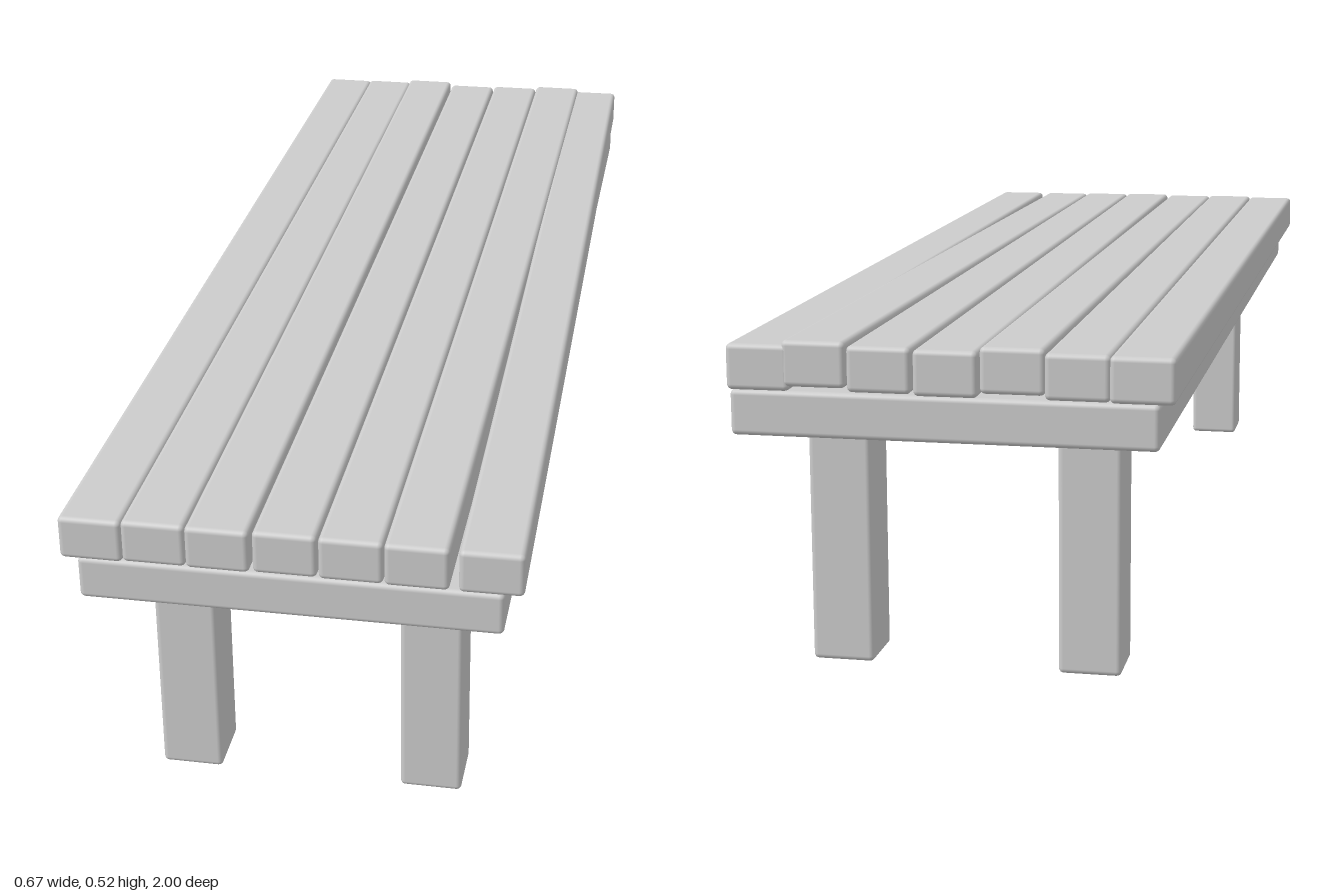
import * as THREE from 'three';
import { RoundedBoxGeometry } from 'three/addons/geometries/RoundedBoxGeometry.js';

export function createModel() {
  const bench = new THREE.Group();
  bench.name = 'bench';
  const wood = new THREE.MeshStandardMaterial({ color: 0xcccccc });

  const beam = (name, w, h, d, x, y, z) => {
    const mesh = new THREE.Mesh(new RoundedBoxGeometry(w, h, d, 3, 0.008), wood);
    mesh.name = name;
    mesh.position.set(x, y, z);
    bench.add(mesh);
    return mesh;
  };

  // Solid base under the planks
  beam('seatBase', 0.619, 0.067, 1.995, -0.002, 0.4085, 0);

  // Four square legs
  for (const [side, x] of [['Right', -0.1915], ['Left', 0.1865]]) {
    beam('frontLeg' + side, 0.095, 0.376, 0.097, x, 0.188, 0.826);
    beam('backLeg' + side, 0.095, 0.376, 0.097, x, 0.188, -0.819);
  }

  // Unevenly laid planks: centre x at front and back, centre y at front and back
  const planks = [
    [-0.290, -0.287, 0.474, 0.475],
    [-0.197, -0.196, 0.476, 0.476],
    [-0.104, -0.104, 0.475, 0.482],
    [-0.006, -0.008, 0.477, 0.475],
    [0.089, 0.088, 0.476, 0.477],
    [0.183, 0.183, 0.475, 0.482],
    [0.289, 0.265, 0.475, 0.475],
  ];
  planks.forEach(([xf, xb, yf, yb], i) => {
    const plank = beam('plank' + (i + 1), 0.093, 0.067, 1.999, (xf + xb) / 2, (yf + yb) / 2, 0);
    plank.rotation.set(Math.atan((yb - yf) / 2), Math.atan((xf - xb) / 2), 0);
  });

  return bench;
}
